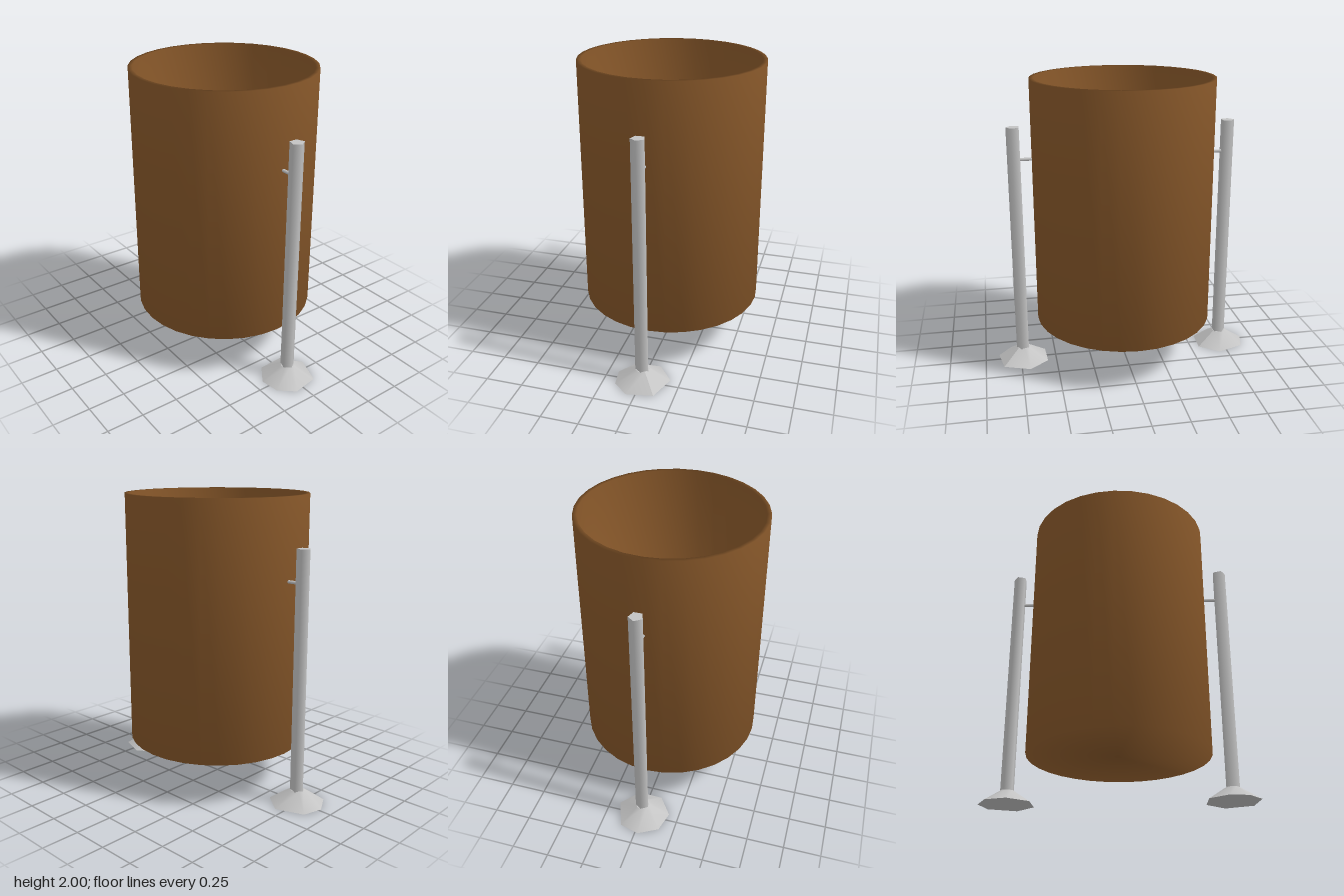
import * as THREE from 'three';

const brown = new THREE.MeshStandardMaterial({ color: 0x8b5a2b });
brown.name = 'brown';
const grey = new THREE.MeshStandardMaterial({ color: 0xc4c4c4 });
grey.name = 'light grey';

const POST_X = 0.73;

function addMesh(parent, name, geometry, material, x, y, z = 0) {
  const mesh = new THREE.Mesh(geometry, material);
  mesh.name = name;
  mesh.position.set(x, y, z);
  parent.add(mesh);
  return mesh;
}

// Flared foot whose outer corners sit at uneven angles (degrees, from +x towards +z)
function footGeometry(angles) {
  const geo = new THREE.CylinderGeometry(0.047, 0.185, 0.09, angles.length);
  const pos = geo.attributes.position;
  const corners = angles.map((a) => THREE.MathUtils.degToRad(a));
  for (let i = 0; i < pos.count; i++) {
    const x = pos.getX(i), z = pos.getZ(i), r = Math.hypot(x, z);
    if (r < 0.001) continue;
    const turn = (Math.atan2(x, z) / (2 * Math.PI) + 1) * angles.length;
    const a = corners[Math.round(turn) % angles.length];
    pos.setXYZ(i, r * Math.cos(a), pos.getY(i), r * Math.sin(a));
  }
  geo.computeVertexNormals();
  return geo;
}

// Post with its foot and the short pin that carries the bin
function makeStand(name, side, angles) {
  const stand = new THREE.Group();
  stand.name = name;
  const x = side * POST_X;
  const post = addMesh(stand, 'post', new THREE.CylinderGeometry(0.047, 0.047, 1.61, 5), grey, x, 0.885);
  post.rotation.y = side * Math.PI / 2;
  addMesh(stand, 'foot', footGeometry(angles), grey, x, 0.045);
  const pin = addMesh(stand, 'pin', new THREE.CylinderGeometry(0.011, 0.011, 0.12, 6), grey, side * 0.65, 1.472);
  pin.rotation.z = Math.PI / 2;
  return stand;
}

export function createModel() {
  const model = new THREE.Group();
  model.name = 'hangingBin';

  // Open round bin: underside, outer wall, rim, inner wall, floor
  const profile = [
    [0, 0.31], [0.615, 0.31], [0.615, 2], [0.587, 2], [0.587, 0.34], [0, 0.34],
  ].map(([r, y]) => new THREE.Vector2(r, y));
  addMesh(model, 'bin', new THREE.LatheGeometry(profile, 32), brown, 0, 0);

  // Two stands, angles listed in falling order
  model.add(makeStand('leftStand', 1, [321, 258, 205, 150, 102, 61, 19]));
  model.add(makeStand('rightStand', -1, [335, 282, 218, 174, 127, 80, 28]));
  return model;
}
